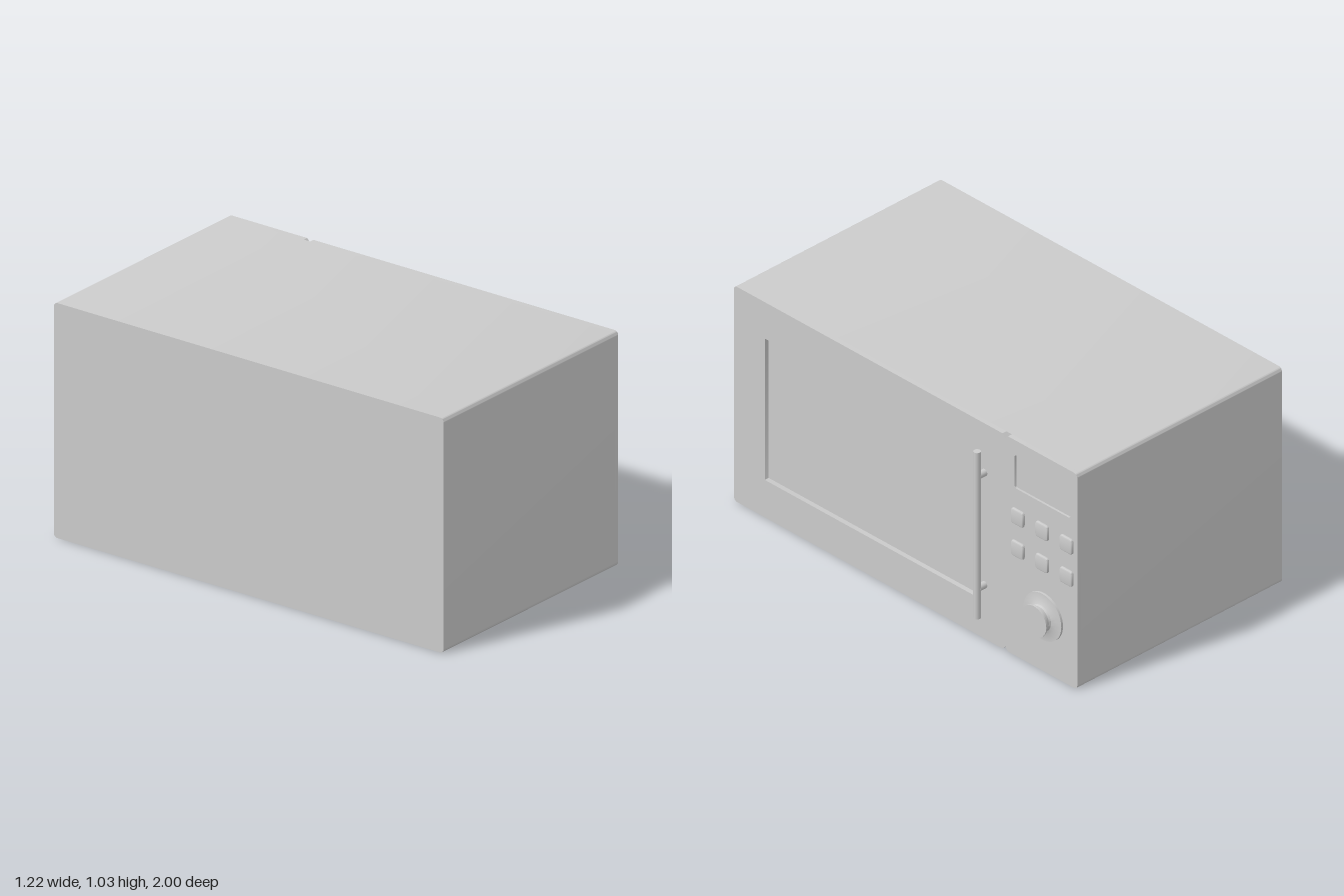
import * as THREE from 'three';
import { toCreasedNormals } from 'three/addons/utils/BufferGeometryUtils.js';

const material = new THREE.MeshStandardMaterial({ color: 0xcccccc });
const HEIGHT = 1.035, BACK = -0.61, RECESS = 0.528, FACE = 0.55;

function add(parent, name, geometry, x = 0, y = 0, z = 0) {
  const mesh = new THREE.Mesh(geometry, material);
  mesh.name = name;
  mesh.position.set(x, y, z);
  parent.add(mesh);
  return mesh;
}

// Rounded outline; the first coordinate runs along -z, the second along y.
// An optional V notch cuts the top and bottom edges at position `notch`.
function outline(path, a0, a1, b0, b1, r, notch) {
  const n = 0.016;
  path.moveTo(a0 + r, b0);
  if (notch !== undefined) {
    path.lineTo(notch - n, b0);
    path.lineTo(notch, b0 + n);
    path.lineTo(notch + n, b0);
  }
  path.lineTo(a1 - r, b0);
  path.absarc(a1 - r, b0 + r, r, -Math.PI / 2, 0, false);
  path.lineTo(a1, b1 - r);
  path.absarc(a1 - r, b1 - r, r, 0, Math.PI / 2, false);
  if (notch !== undefined) {
    path.lineTo(notch + n, b1);
    path.lineTo(notch, b1 - n);
    path.lineTo(notch - n, b1);
  }
  path.lineTo(a0 + r, b1);
  path.absarc(a0 + r, b1 - r, r, Math.PI / 2, Math.PI, false);
  path.lineTo(a0, b0 + r);
  path.absarc(a0 + r, b0 + r, r, Math.PI, Math.PI * 1.5, false);
  return path;
}

// Extrude an outline towards +x
function slab(shape, depth, bevel = 0) {
  const geometry = new THREE.ExtrudeGeometry(shape, {
    depth, curveSegments: 6, bevelEnabled: bevel > 0,
    bevelSize: bevel, bevelThickness: bevel, bevelOffset: -bevel, bevelSegments: 2,
  });
  geometry.rotateY(Math.PI / 2);
  return toCreasedNormals(geometry, 0.6);
}

export function createModel() {
  const oven = new THREE.Group();
  oven.name = 'microwaveOven';

  // Casing; its end wall is the floor of the window recess
  const casing = outline(new THREE.Shape(), -1, 1, 0, HEIGHT, 0.02);
  add(oven, 'casing', slab(casing, RECESS - BACK), BACK);

  // Door and control panel with window and display openings
  const fascia = outline(new THREE.Shape(), -1, 1, 0, HEIGHT, 0.02, 0.58);
  fascia.holes.push(
    outline(new THREE.Path(), -0.82, 0.4, 0.18, 0.86, 0.002),
    outline(new THREE.Path(), 0.635, 0.96, 0.805, 0.965, 0.012),
  );
  add(oven, 'fascia', slab(fascia, FACE - RECESS), RECESS);
  add(oven, 'display', new THREE.BoxGeometry(0.016, 0.16, 0.325), RECESS + 0.004, 0.885, -0.7975);

  // Handle bar on two posts
  const handle = new THREE.Group();
  handle.name = 'handle';
  oven.add(handle);
  add(handle, 'bar', new THREE.CylinderGeometry(0.016, 0.016, 0.8, 24), 0.592, 0.52, -0.46);
  for (const y of [0.26, 0.8]) {
    const post = new THREE.CylinderGeometry(0.016, 0.016, 0.05, 24).rotateZ(Math.PI / 2);
    add(handle, 'post', post, 0.565, y, -0.46);
  }

  // Two rows of three buttons
  const buttonGeometry = slab(
    outline(new THREE.Shape(), -0.037, 0.037, -0.037, 0.037, 0.015), 0.01, 0.009);
  for (const y of [0.519, 0.674]) {
    for (const z of [-0.657, -0.799, -0.941]) {
      add(oven, 'button', buttonGeometry, FACE - 0.007, y, z);
    }
  }

  // Dial: base plate, flared neck and lipped cap
  const profile = [
    [0, 0], [0.11, 0], [0.11, 0.01], [0.077, 0.012], [0.06, 0.02],
    [0.056, 0.028], [0.059, 0.049], [0.072, 0.052], [0.072, 0.058], [0, 0.058],
  ].map(([r, h]) => new THREE.Vector2(r, h));
  const dial = new THREE.LatheGeometry(profile, 48).rotateZ(-Math.PI / 2);
  add(oven, 'dial', toCreasedNormals(dial, 0.6), FACE, 0.267, -0.807);

  return oven;
}
